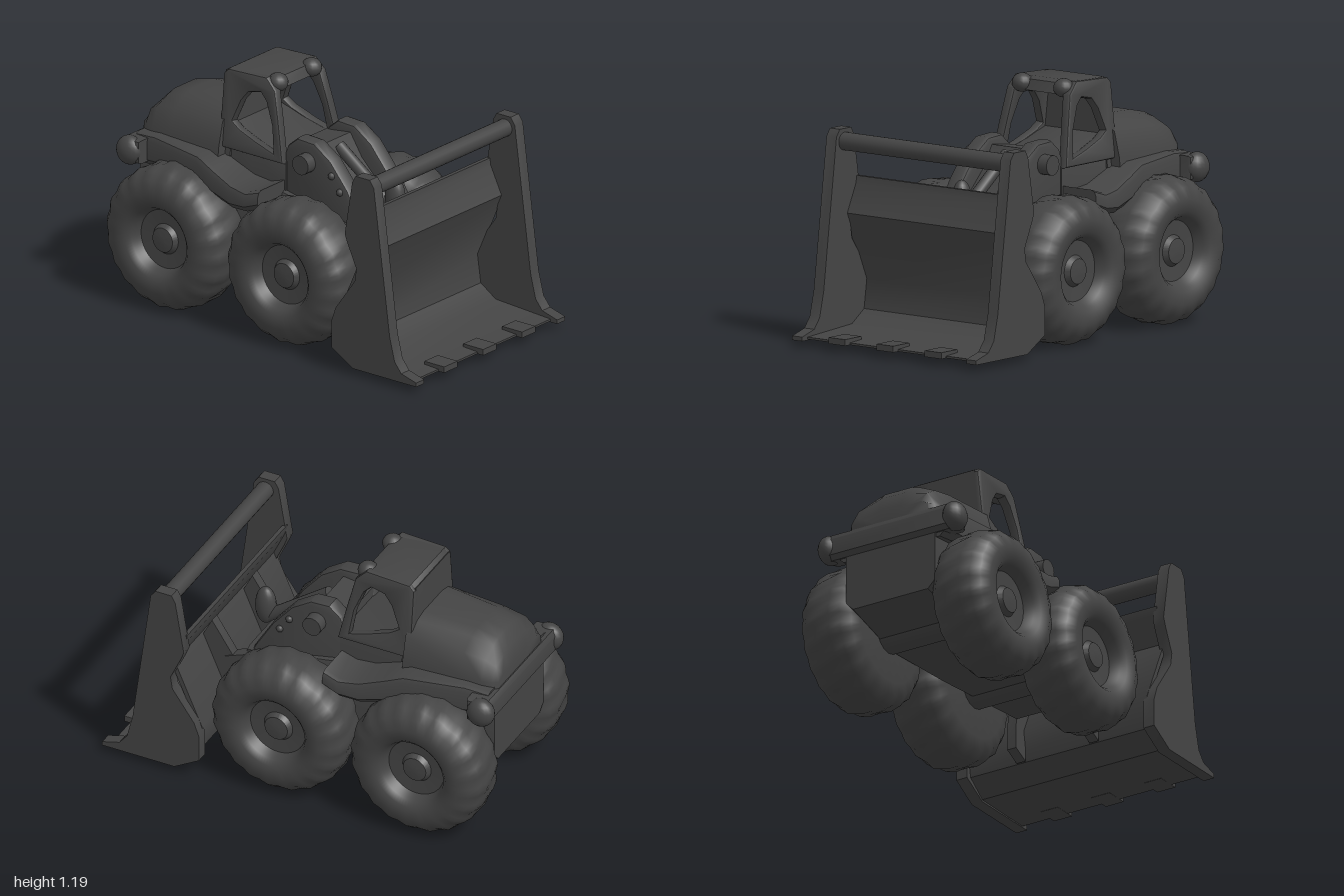
import * as THREE from 'three';
import { toCreasedNormals, mergeVertices } from 'three/addons/utils/BufferGeometryUtils.js';

const mat = new THREE.MeshStandardMaterial({ color: 0x444444, side: THREE.DoubleSide });

function add(parent, name, geo, x = 0, y = 0, z = 0) {
  const m = new THREE.Mesh(geo, mat);
  m.name = name;
  m.position.set(x, y, z);
  parent.add(m);
  return m;
}

const toPoints = pts => pts.map(p => new THREE.Vector2(p[0], p[1]));

// Side profile in (z, y), extruded to a given width along x and centred
function sidePlate(pts, width, bevel = 0, hole = null) {
  const shape = new THREE.Shape(toPoints(pts));
  if (hole) shape.holes.push(new THREE.Path(toPoints(hole)));
  const depth = width - 2 * bevel;
  const g = new THREE.ExtrudeGeometry(shape, {
    depth, bevelEnabled: bevel > 0, bevelSize: bevel, bevelThickness: bevel, bevelOffset: -bevel, bevelSegments: 2,
  });
  g.translate(0, 0, -depth / 2);
  g.rotateY(-Math.PI / 2);
  return toCreasedNormals(g, 0.6);
}

// Loft through mirrored half sections [z, [[x, y] from bottom centre to top centre]], z ascending
function loft(sections, crease = 0.75) {
  const pos = [], idx = [];
  const rings = sections.map(([z, half]) => {
    const left = half.slice(1, -1).reverse().map(([x, y]) => [-x, y]);
    return [...half, ...left].map(([x, y]) => [x, y, z]);
  });
  const n = rings[0].length;
  rings.forEach(r => r.forEach(p => pos.push(...p)));
  for (let s = 0; s < rings.length - 1; s++) {
    for (let i = 0; i < n; i++) {
      const j = (i + 1) % n, a = s * n + i, b = s * n + j;
      idx.push(a, b, b + n, a, b + n, a + n);
    }
  }
  const e = (rings.length - 1) * n;
  for (let i = 1; i < n - 1; i++) idx.push(0, i + 1, i, e, e + i, e + i + 1);
  const g = new THREE.BufferGeometry();
  g.setAttribute('position', new THREE.Float32BufferAttribute(pos, 3));
  g.setIndex(idx);
  return toCreasedNormals(g, crease);
}

// Rounded box-like half section
const section = (w, y0, y1, r) =>
  [[0, y0], [w - r, y0], [w, y0 + r], [w, y1 - r], [w - r * 0.3, y1 - r * 0.3], [w - r, y1], [0, y1]];

// Lathed tyre with recessed rim and staggered tread lumps; axle along x, rim on +x
function wheelGeometry() {
  const profile = [[0, -0.15], [0.24, -0.15], [0.3, -0.135], [0.338, -0.095], [0.352, -0.04], [0.352, 0.04],
    [0.338, 0.095], [0.305, 0.135], [0.25, 0.158], [0.19, 0.15], [0.165, 0.125], [0.145, 0.08],
    [0.075, 0.075], [0.06, 0.1], [0.02, 0.105], [0, 0.105]];
  let g = new THREE.LatheGeometry(toPoints(profile), 80);
  g.deleteAttribute('uv');
  g.deleteAttribute('normal');
  g = mergeVertices(g);
  const p = g.attributes.position;
  for (let i = 0; i < p.count; i++) {
    const x = p.getX(i), y = p.getY(i), z = p.getZ(i);
    if (Math.hypot(x, z) < 0.29) continue;
    const lump = Math.sin(Math.atan2(z, x) * 20 + (y > 0 ? 0 : Math.PI));
    const k = 1 + 0.016 * Math.tanh(2 * lump) - 0.008;
    p.setXYZ(i, x * k, y, z * k);
  }
  g.rotateZ(-Math.PI / 2);
  return toCreasedNormals(g, 0.7);
}

function buildBucket() {
  const b = new THREE.Group();
  b.name = 'bucket';
  // Side plates
  const plate = sidePlate([[0.98, 0.035], [0.98, 0.055], [0.89, 0.08], [0.85, 0.13], [0.82, 0.25], [0.725, 0.97], [0.70, 1.005],
    [0.615, 1.005], [0.595, 0.97], [0.55, 0.7], [0.565, 0.66], [0.62, 0.54], [0.61, 0.476], [0.495, 0.316],
    [0.47, 0.246], [0.47, 0.11], [0.6, 0.035]], 0.06);
  for (const s of [-1, 1]) add(b, 'bucketSidePlate', plate, s * 0.525);
  // Bent shell of floor, back and upper strip
  const outer = [[0.94, 0.04], [0.6, 0.045], [0.5, 0.12], [0.475, 0.27], [0.62, 0.6], [0.56, 0.73], [0.555, 0.77]];
  const inner = [[0.575, 0.77], [0.58, 0.735], [0.645, 0.6], [0.5, 0.27], [0.52, 0.13], [0.61, 0.07], [0.94, 0.05]];
  add(b, 'bucketShell', sidePlate([...outer, ...inner], 1.02));
  // Top bar and cutting edge teeth
  const bar = new THREE.CylinderGeometry(0.043, 0.043, 1.02, 20);
  bar.rotateZ(Math.PI / 2);
  add(b, 'bucketTopBar', bar, 0, 0.945, 0.665);
  for (const x of [-0.29, 0, 0.29]) add(b, 'bucketTooth', new THREE.BoxGeometry(0.1, 0.03, 0.12), x, 0.055, 0.915);
  // Rear mounting ribs with lift arms reaching back to the chassis
  const rib = sidePlate([[0.57, 0.68], [0.45, 0.5], [0.445, 0.45], [0.41, 0.28], [0.41, 0.16], [0.49, 0.12], [0.49, 0.27], [0.62, 0.58]], 0.05);
  const arm = sidePlate([[0.5, 0.5], [0.3, 0.58], [0.3, 0.44], [0.5, 0.38]], 0.06);
  for (const s of [-1, 1]) {
    add(b, 'bucketRib', rib, s * 0.205);
    add(b, 'liftArm', arm, s * 0.205);
  }
  return b;
}

function buildCab() {
  const c = new THREE.Group();
  c.name = 'cab';
  // Side frames with an open window, leaning inward
  const frame = sidePlate(
    [[-0.09, 0.79], [-0.13, 0.98], [-0.165, 1.13], [-0.22, 1.185], [-0.45, 1.175], [-0.475, 1.15], [-0.475, 0.79]],
    0.05, 0.012,
    [[-0.15, 0.83], [-0.17, 0.96], [-0.215, 1.07], [-0.25, 1.105], [-0.32, 1.09], [-0.36, 1.04], [-0.405, 0.93], [-0.36, 0.9], [-0.25, 0.86]]);
  frame.translate(0, -0.79, 0);
  for (const s of [-1, 1]) {
    const f = add(c, 'cabSideFrame', frame, s * 0.205, 0.79);
    f.rotation.z = s * 0.11;
    // Roof corner bulge at the front
    const bulge = add(c, 'roofCorner', new THREE.SphereGeometry(1, 16, 10), s * 0.125, 1.15, -0.2);
    bulge.scale.set(0.05, 0.045, 0.05);
  }
  add(c, 'cabRoof', sidePlate([[-0.18, 1.12], [-0.2, 1.17], [-0.24, 1.18], [-0.45, 1.175], [-0.475, 1.15], [-0.475, 1.1], [-0.24, 1.125]], 0.34, 0.008));
  add(c, 'cabRearWall', loft([[-0.475, [[0, 0.75], [0.21, 0.75], [0.17, 1.16], [0, 1.16]]],
    [-0.42, [[0, 0.75], [0.21, 0.75], [0.17, 1.13], [0, 1.13]]]]));
  add(c, 'cabFloor', loft([[-0.45, section(0.2, 0.6, 0.92, 0.03)], [-0.3, section(0.2, 0.6, 0.87, 0.03)], [-0.09, section(0.2, 0.6, 0.82, 0.03)]]));
  return c;
}

function buildFront() {
  const f = new THREE.Group();
  f.name = 'frontSection';
  const side = sidePlate([[0.43, 0.45], [0.36, 0.59], [0.27, 0.74], [0.17, 0.86], [0.07, 0.925], [-0.03, 0.93], [-0.09, 0.88], [-0.12, 0.8], [-0.12, 0.45]], 0.09, 0.02);
  const pin = new THREE.CylinderGeometry(0.048, 0.048, 0.07, 18);
  pin.rotateZ(Math.PI / 2);
  const bolt = new THREE.SphereGeometry(0.018, 10, 8);
  for (const s of [-1, 1]) {
    add(f, 'liftTowerSide', side, s * 0.15);
    add(f, 'pivotPin', pin, s * 0.215, 0.825, 0.035);
    for (const [y, z] of [[0.79, 0.18], [0.72, 0.23]]) add(f, 'bolt', bolt, s * 0.195, y, z);
  }
  // Recessed centre between the tower sides, and the tilt linkage
  add(f, 'liftTowerCentre', sidePlate([[0.4, 0.45], [0.33, 0.58], [0.22, 0.68], [0.12, 0.78], [0.05, 0.89], [-0.1, 0.87], [-0.12, 0.45]], 0.24));
  const ram = add(f, 'tiltRam', new THREE.CylinderGeometry(0.03, 0.03, 0.4, 14), 0, 0.74, 0.23);
  ram.rotation.x = 2.2;
  const link = add(f, 'tiltLink', new THREE.SphereGeometry(1, 18, 14), 0, 0.68, 0.405);
  link.scale.set(0.045, 0.1, 0.052);
  return f;
}

function buildRear() {
  const r = new THREE.Group();
  r.name = 'rearSection';
  // Low frame between the wheels
  add(r, 'chassis', loft([[-0.93, section(0.25, 0.36, 0.72, 0.04)], [-0.6, section(0.25, 0.27, 0.72, 0.04)],
    [-0.2, section(0.23, 0.27, 0.68, 0.04)], [0.4, section(0.21, 0.3, 0.56, 0.04)]]));
  // Wide fender deck rising toward the back
  add(r, 'fenderDeck', loft([[-0.92, section(0.3, 0.62, 0.775, 0.03)], [-0.8, section(0.31, 0.63, 0.785, 0.03)],
    [-0.5, section(0.36, 0.63, 0.775, 0.03)], [-0.4, section(0.375, 0.6, 0.735, 0.03)],
    [-0.28, section(0.39, 0.57, 0.69, 0.03)], [-0.18, section(0.405, 0.58, 0.68, 0.03)], [-0.1, section(0.4, 0.61, 0.705, 0.03)]]));
  // Domed engine hood
  const hood = (z, wb, wt, top) => [z, [[0, 0.72], [wb, 0.72], [wb * 0.97, 0.8], [(wb + wt) / 2 + 0.015, 0.8 + (top - 0.8) * 0.65],
    [wt, top - 0.015], [wt * 0.6, top], [0, top]]];
  add(r, 'engineHood', loft([hood(-0.935, 0.22, 0.1, 0.83), hood(-0.91, 0.24, 0.115, 0.9), hood(-0.86, 0.255, 0.125, 0.945),
    hood(-0.75, 0.26, 0.135, 0.97), hood(-0.45, 0.265, 0.16, 0.985)], 1));
  // Rear counterweight bar with rounded ends
  add(r, 'rearBar', sidePlate([[-0.84, 0.65], [-0.84, 0.765], [-0.94, 0.765], [-0.955, 0.74], [-0.955, 0.66], [-0.93, 0.64]], 0.74, 0.02));
  for (const s of [-1, 1]) {
    const lobe = add(r, 'rearLamp', new THREE.SphereGeometry(1, 18, 12), s * 0.35, 0.705, -0.91);
    lobe.scale.set(0.055, 0.072, 0.07);
  }
  return r;
}

export function createModel() {
  const model = new THREE.Group();
  model.name = 'diggingMachine';
  const body = new THREE.Group();
  body.name = 'machineBody';
  body.add(buildBucket(), buildFront(), buildCab(), buildRear());
  // Four wheels and their axles
  const wheel = wheelGeometry();
  const axle = new THREE.CylinderGeometry(0.1, 0.1, 0.6, 16);
  axle.rotateZ(Math.PI / 2);
  for (const [name, z] of [['front', 0.11], ['rear', -0.62]]) {
    add(body, name + 'Axle', axle, 0, 0.355, z);
    for (const s of [-1, 1]) {
      const w = add(body, name + (s > 0 ? 'LeftWheel' : 'RightWheel'), wheel, s * 0.365, 0.355, z);
      if (s < 0) w.rotation.y = Math.PI;
    }
  }
  // The whole machine stands turned very slightly
  body.rotation.y = -0.033;
  body.position.x = 0.01;
  model.add(body);
  return model;
}
